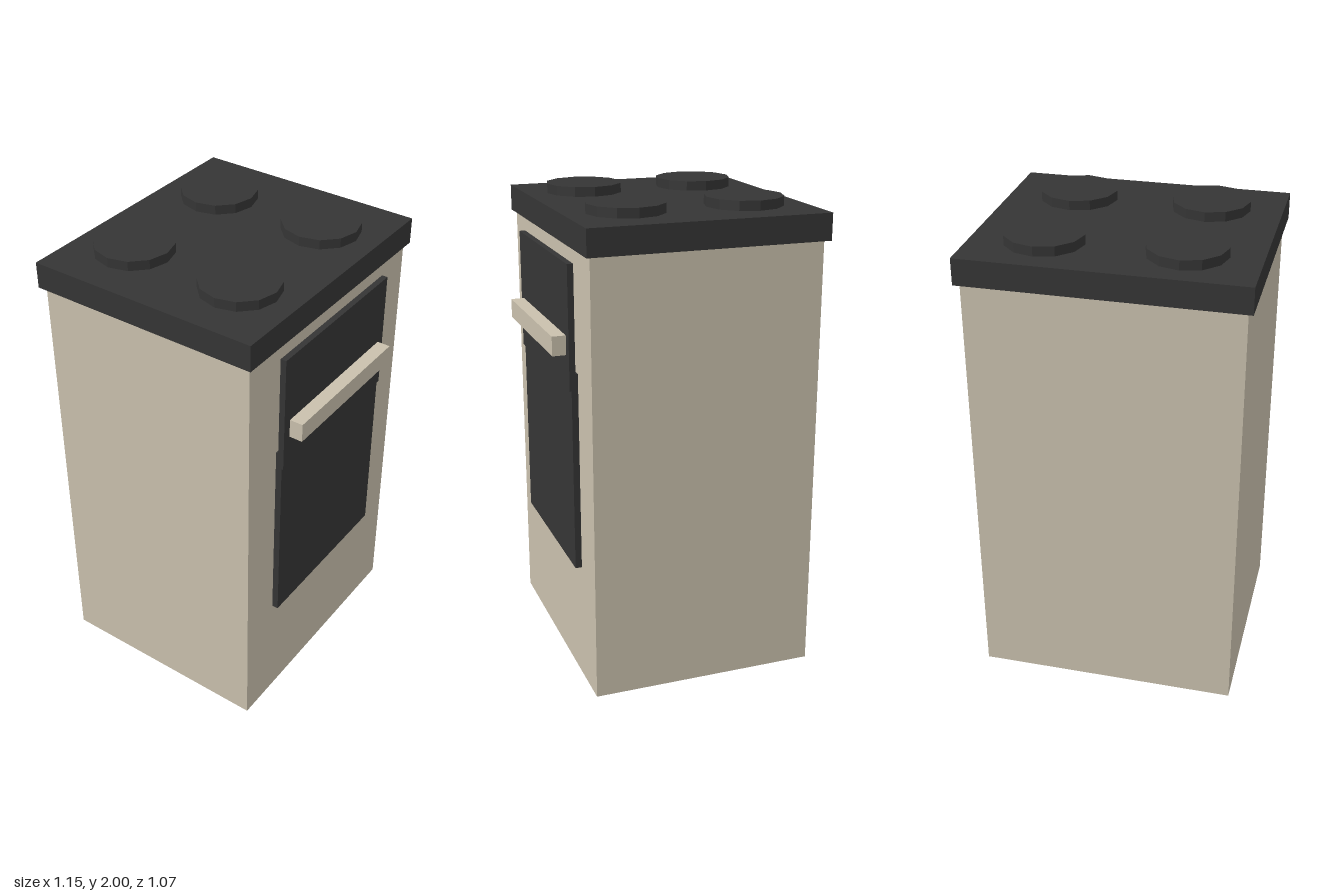
import * as THREE from 'three';

export function createModel() {
  const stove = new THREE.Group();
  stove.name = 'stove';

  const cream = new THREE.MeshStandardMaterial({ color: 0xc9c0ad });
  cream.name = 'cream enamel';
  const black = new THREE.MeshStandardMaterial({ color: 0x353535 });
  black.name = 'black iron';

  // Box given by its lower and upper limits on each axis, symmetric in x
  function box(name, material, halfWidth, [y0, y1], [z0, z1]) {
    const mesh = new THREE.Mesh(new THREE.BoxGeometry(halfWidth * 2, y1 - y0, z1 - z0), material);
    mesh.position.set(0, (y0 + y1) / 2, (z0 + z1) / 2);
    mesh.name = name;
    stove.add(mesh);
  }

  // Cabinet and overhanging worktop
  box('body', cream, 0.553, [0, 1.85], [-0.515, 0.445]);
  box('worktop', black, 0.574, [1.85, 1.96], [-0.537, 0.463]);

  // Oven door, raised upper panel and handle bar
  box('ovenDoor', black, 0.368, [0.51, 1.35], [0.44, 0.472]);
  box('doorUpperPanel', black, 0.369, [1.28, 1.79], [0.455, 0.48]);
  box('doorHandle', cream, 0.331, [1.42, 1.5], [0.465, 0.537]);

  // Small peg holding the upper panel to the cabinet
  box('panelMount', black, 0.3, [1.43, 1.49], [0.44, 0.457]);

  // Four twelve-sided hot plates
  const plate = new THREE.CylinderGeometry(0.162, 0.162, 0.05, 12).toNonIndexed();
  plate.computeVertexNormals();
  for (const x of [-0.281, 0.279]) {
    for (const z of [-0.289, 0.212]) {
      const mesh = new THREE.Mesh(plate, black);
      mesh.position.set(x, 1.975, z);
      mesh.name = 'hotPlate';
      stove.add(mesh);
    }
  }

  return stove;
}
